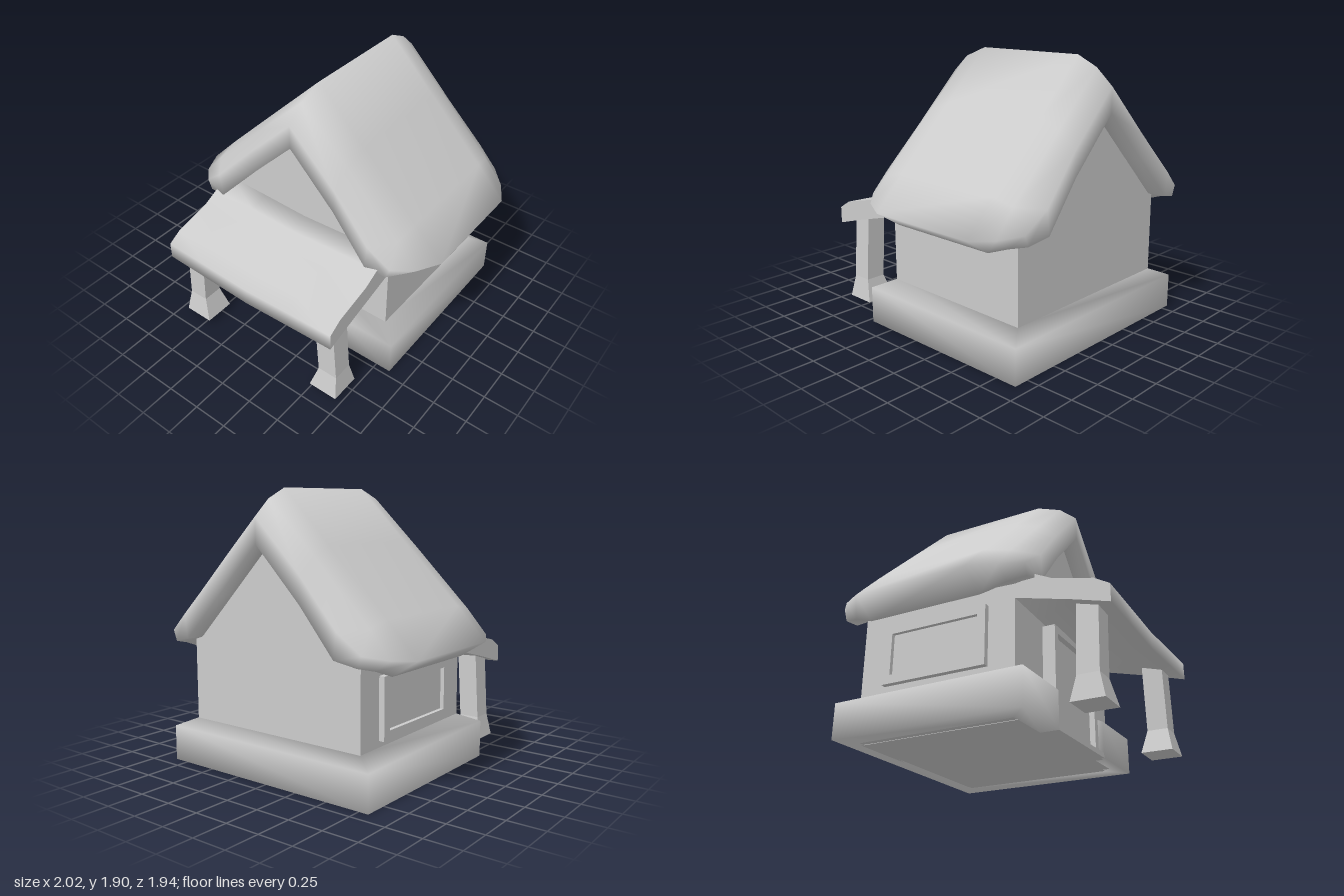
import * as THREE from 'three';

const grey = new THREE.MeshStandardMaterial({ color: 0xcccccc });

function mesh(name, geometry, x = 0, y = 0, z = 0) {
  const m = new THREE.Mesh(geometry, grey);
  m.name = name;
  m.position.set(x, y, z);
  return m;
}

// Skin a row of equal-length loops of [x, y, z]; the ends are closed by strips
// running between the first and second half of the loop.
function loft(loops, style = 'smooth') {
  const n = loops[0].length;
  const pos = loops.flat(2);
  const tris = [];
  const quad = (a, b, c, d) => tris.push(a, b, c, a, c, d);
  for (let j = 0; j < loops.length - 1; j++) {
    for (let i = 0; i < n; i++) {
      const k = (i + 1) % n;
      quad(j * n + i, j * n + k, (j + 1) * n + k, (j + 1) * n + i);
    }
  }
  let first = 0, last = (loops.length - 1) * n;
  if (style === 'sharpEnds') {
    first = pos.length / 3;
    last = first + n;
    pos.push(...loops[0].flat(), ...loops[loops.length - 1].flat());
  }
  for (let i = 0; i < n / 2 - 1; i++) {
    const p = n - 1 - i;
    quad(first + i, first + p, first + p - 1, first + i + 1);
    quad(last + i, last + i + 1, last + p - 1, last + p);
  }
  // Turn the faces outward if the loops ran the other way
  const v = (i) => new THREE.Vector3().fromArray(pos, i * 3);
  let volume = 0;
  for (let t = 0; t < tris.length; t += 3) volume += v(tris[t]).dot(v(tris[t + 1]).cross(v(tris[t + 2])));
  if (volume < 0) tris.reverse();
  let g = new THREE.BufferGeometry();
  g.setAttribute('position', new THREE.Float32BufferAttribute(pos, 3));
  g.setIndex(tris);
  if (style === 'flat') g = g.toNonIndexed();
  g.computeVertexNormals();
  return g;
}

// Rectangular frame standing on y = 0, centred on x, from z = 0 forward
function frame(w, h, border, bottom, depth) {
  const s = new THREE.Shape([[-w / 2, 0], [w / 2, 0], [w / 2, h], [-w / 2, h]].map(p => new THREE.Vector2(...p)));
  const x = w / 2 - border;
  s.holes.push(new THREE.Path([[-x, bottom], [-x, h - border], [x, h - border], [x, bottom]].map(p => new THREE.Vector2(...p))));
  return new THREE.ExtrudeGeometry(s, { depth, bevelEnabled: false });
}

// Gable roof: half sections, outer chain from ridge to eave, inner chain from ridge to eave
function roofGeometry() {
  const middle = {
    outer: [[0, 1.9], [0.37, 1.54], [0.8, 1.12], [1.02, 0.895]],
    inner: [[0, 1.55], [0.35, 1.2], [0.68, 0.89], [0.84, 0.78]],
  };
  const shoulder = {
    outer: [[0, 1.83], [0.37, 1.48], [0.78, 1.08], [0.93, 0.91]],
    inner: [[0, 1.55], [0.35, 1.2], [0.66, 0.89], [0.82, 0.835]],
  };
  const end = {
    outer: [[0, 1.72], [0.36, 1.37], [0.65, 1.07], [0.81, 0.94]],
    inner: [[0, 1.55], [0.35, 1.2], [0.63, 0.9], [0.78, 0.865]],
  };
  const bulge = [0, 0, 0.027, -0.005];
  const section = (s, z, b) => {
    const chain = (pts) => {
      const half = pts.map(([x, y], i) => [x * 0.98, y, z + b * bulge[i]]);
      const other = pts.slice(1).map(([x, y], i) => [-x, y, z + b * bulge[i + 1]]).reverse();
      return [...other, ...half];
    };
    return [...chain(s.outer), ...chain(s.inner).reverse()];
  };
  return loft([
    section(end, -0.943, -1), section(shoulder, -0.82, 0), section(middle, -0.67, 0),
    section(middle, 0.16, 0), section(shoulder, 0.34, 0), section(end, 0.465, 1),
  ]);
}

// Rounded plinth around the walls, open at the door
function foundationGeometry() {
  const outer = [[-0.36, 0.46], [-0.84, 0.46], [-0.84, -0.91], [0.84, -0.91], [0.84, 0.46], [0.36, 0.46]];
  const inner = [[-0.36, 0.33], [-0.7, 0.33], [-0.7, -0.8], [0.7, -0.8], [0.7, 0.33], [0.36, 0.33]];
  return loft(outer.map(([x, z], i) => {
    const [u, w] = inner[i];
    const drop = z < 0 ? 0.012 : 0;
    return [[x, 0, z], [x, 0.258 - drop, z], [u, 0.322 - drop, w], [u, 0, w]];
  }));
}

// Porch roof, sagging a little in the middle
function porchGeometry() {
  const profile = [[0.33, 0.95], [0.48, 0.905], [0.6, 0.845], [0.87, 0.78], [0.97, 0.72],
    [0.97, 0.6], [0.73, 0.67], [0.33, 0.775]];
  const spans = [[-0.71, 0], [-0.36, 0.014], [0, 0.03], [0.36, 0.014], [0.71, 0]];
  return loft(spans.map(([x, sag]) => profile.map(([z, y]) => [x, y - sag, z])), 'sharpEnds');
}

// Porch post with a flared foot, leaning slightly inward
function postGeometry(side) {
  const levels = [[0.035, 0.59, 0.11], [0.2, 0.605, 0.073], [0.7, 0.575, 0.073]];
  return loft(levels.map(([y, cx, r]) => [[-r, -r], [r, -r], [r, r], [-r, r]]
    .map(([x, z]) => [side * cx + x, y, 0.795 + z])), 'flat');
}

export function createModel() {
  const house = new THREE.Group();
  house.name = 'cottage';
  house.position.x = 0.02;

  // Walls with gable ends
  const gable = new THREE.Shape([[-0.71, 0.003], [0.71, 0.003], [0.71, 0.9], [0, 1.58], [-0.71, 0.9]]
    .map(p => new THREE.Vector2(...p)));
  house.add(mesh('walls', new THREE.ExtrudeGeometry(gable, { depth: 1.15, bevelEnabled: false }), 0, 0, -0.81));

  house.add(mesh('foundation', foundationGeometry()));
  house.add(mesh('foundationBase', new THREE.BoxGeometry(1.3, 0.03, 1.2), 0, 0.015, -0.22));
  house.add(mesh('threshold', new THREE.BoxGeometry(0.8, 0.035, 0.16), 0, 0.0175, 0.38));
  house.add(mesh('roof', roofGeometry()));
  house.add(mesh('porchRoof', porchGeometry()));
  for (const side of [-1, 1]) house.add(mesh(side < 0 ? 'rightPost' : 'leftPost', postGeometry(side)));

  // Front door
  const door = new THREE.Group();
  door.name = 'door';
  door.position.set(0.005, 0.035, 0.33);
  door.add(mesh('doorFrame', frame(0.67, 0.695, 0.05, 0.017, 0.1)));
  door.add(mesh('doorPanel', new THREE.BoxGeometry(0.58, 0.66, 0.06), 0, 0.34, 0.03));
  house.add(door);

  // Window on the right wall
  const sideWindow = new THREE.Group();
  sideWindow.name = 'window';
  sideWindow.position.set(-0.7, 0.35, -0.235);
  sideWindow.rotation.y = -Math.PI / 2;
  sideWindow.add(mesh('windowFrame', frame(0.77, 0.41, 0.06, 0.06, 0.05)));
  sideWindow.add(mesh('windowPane', new THREE.BoxGeometry(0.67, 0.31, 0.02), 0, 0.205, 0.012));
  house.add(sideWindow);

  const model = new THREE.Group();
  model.add(house);
  return model;
}
